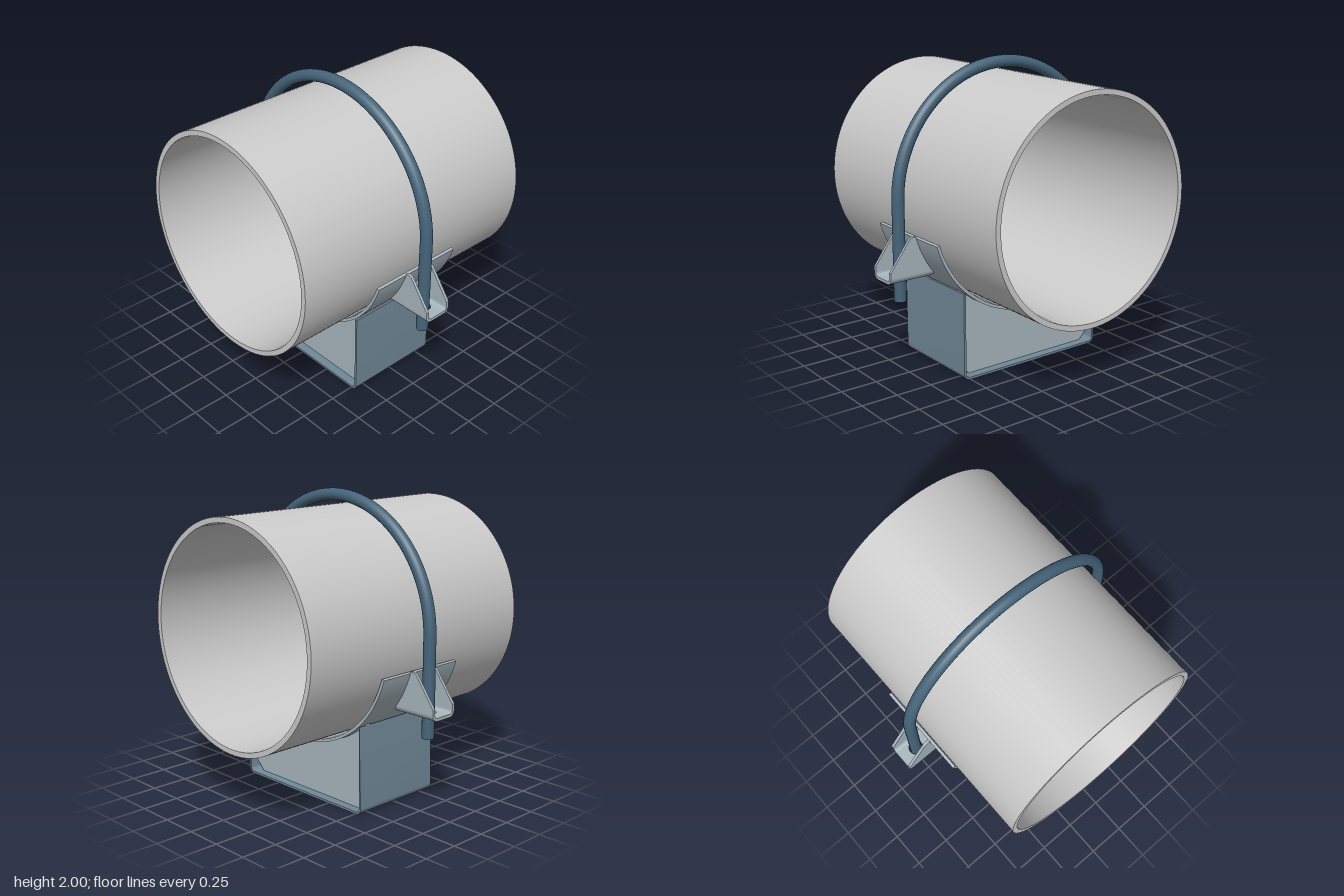
import * as THREE from 'three';
import { toCreasedNormals } from 'three/addons/utils/BufferGeometryUtils.js';

const CY = 1.155; // height of the pipe axis
const PI = Math.PI;
const paint = (color) => new THREE.MeshStandardMaterial({ color });
const grey = paint(0xcccccc);
const plateBlue = paint(0xa8b6be);
const channelBlue = paint(0x728a99);
const rodBlue = paint(0x45647a);

function add(parent, name, geometry, material) {
  const mesh = new THREE.Mesh(geometry, material);
  mesh.name = name;
  parent.add(mesh);
  return mesh;
}

// Extrude a shape by depth, centred on its own plane
function extrude(shape, depth, curveSegments = 12) {
  const g = new THREE.ExtrudeGeometry(shape, { depth, bevelEnabled: false, curveSegments });
  g.translate(0, 0, -depth / 2);
  return toCreasedNormals(g, 0.5);
}

// Extrude a side profile drawn in (z, y) along x
const extrudeX = (shape, width, segments) => extrude(shape, width, segments).rotateY(-PI / 2);

function buildPipe(parent) {
  const ring = new THREE.Shape().absarc(0, CY, 0.74, 0, PI * 2);
  ring.holes.push(new THREE.Path().absarc(0, CY, 0.705, 0, PI * 2, true));
  add(parent, 'pipe', extrudeX(ring, 1.847, 64), grey);
}

function buildSaddle(parent) {
  const half = 1.275;
  const arc = new THREE.Shape();
  arc.absarc(0, CY, 0.775, -PI / 2 - half, -PI / 2 + half, false);
  arc.absarc(0, CY, 0.755, -PI / 2 + half, -PI / 2 - half, true);
  arc.closePath();
  add(parent, 'saddle', extrudeX(arc, 0.667, 48), plateBlue);
}

function buildBase(parent) {
  // Bent channel with rounded lower corners
  const w = 0.547, t = 0.015, top = 0.585, r = 0.045;
  const u = new THREE.Shape();
  u.moveTo(-w, top);
  u.absarc(-w + r, r, r, PI, PI * 1.5, false);
  u.absarc(w - r, r, r, PI * 1.5, PI * 2, false);
  u.lineTo(w, top);
  u.lineTo(w - t, top);
  u.absarc(w - r, r, r - t, 0, -PI / 2, true);
  u.absarc(-w + r, r, r - t, PI * 1.5, PI, true);
  u.lineTo(-w + t, top);
  u.closePath();
  add(parent, 'baseChannel', extrudeX(u, 0.667), channelBlue);

  // Gusset plates: clipped lower corners, top cut to the saddle
  const g = w - t, c = 0.06, R = 0.772;
  const a = Math.asin(g / R);
  const plate = new THREE.Shape();
  plate.moveTo(-g, t + c);
  plate.lineTo(-g + c, t);
  plate.lineTo(g - c, t);
  plate.lineTo(g, t + c);
  plate.absarc(0, CY, R, -PI / 2 + a, -PI / 2 - a, true);
  plate.closePath();
  for (const side of [-1, 1]) {
    add(parent, 'gussetPlate', extrudeX(plate, 0.035, 32), plateBlue).position.x = side * 0.255;
  }
}

// U-shaped lug on the +z side: two cheeks, two bends and a drilled floor
function buildLug() {
  const lug = new THREE.Group();
  lug.name = 'lug';
  const half = 0.1, t = 0.02, r = 0.042, bottom = 0.655;
  const zIn = 0.612, zOut = 0.93, R = 0.772;
  const bendY = bottom + r;

  const cheek = new THREE.Shape();
  cheek.moveTo(zOut, bendY);
  cheek.lineTo(zOut, 0.735);
  cheek.lineTo(0.785, 0.932);
  cheek.lineTo(0.765, 0.94);
  cheek.absarc(0, CY, R, Math.asin((0.94 - CY) / R), Math.asin((bendY - CY) / R), true);
  cheek.closePath();

  const bend = new THREE.Shape();
  bend.absarc(0, 0, r, -PI / 2, 0, false);
  bend.absarc(0, 0, r - t, 0, -PI / 2, true);
  bend.closePath();

  for (const side of [-1, 1]) {
    add(lug, 'lugCheek', extrudeX(cheek, t), plateBlue).position.x = side * (half - t / 2);
    const corner = add(lug, 'lugBend', extrude(bend, zOut - zIn, 6), plateBlue);
    corner.position.set(side * (half - r), bendY, (zIn + zOut) / 2);
    if (side < 0) corner.rotation.y = PI;
  }

  const f = half - r;
  const floor = new THREE.Shape();
  floor.moveTo(-f, zIn);
  floor.lineTo(f, zIn);
  floor.lineTo(f, zOut);
  floor.lineTo(-f, zOut);
  floor.closePath();
  floor.holes.push(new THREE.Path().absarc(0, 0.805, 0.048, 0, PI * 2, true));
  const floorMesh = add(lug, 'lugFloor', extrude(floor, t, 16).rotateX(PI / 2), plateBlue);
  floorMesh.position.y = bottom + t / 2;
  return lug;
}

function buildUBolt(parent) {
  const bolt = new THREE.Group();
  bolt.name = 'uBolt';
  const reach = 0.805, r = 0.04, end = 0.505;
  const bow = new THREE.TorusGeometry(reach, r, 20, 72, PI).rotateY(-PI / 2);
  add(bolt, 'boltBow', bow, rodBlue).position.y = CY;
  for (const side of [-1, 1]) {
    const leg = add(bolt, 'boltLeg', new THREE.CylinderGeometry(r, r, CY - end, 20), rodBlue);
    leg.position.set(0, (CY + end) / 2, side * reach);
  }
  parent.add(bolt);
}

export function createModel() {
  const model = new THREE.Group();
  model.name = 'pipeSupport';
  buildPipe(model);
  buildSaddle(model);
  buildBase(model);
  for (const turn of [0, PI]) {
    const lug = buildLug();
    lug.rotation.y = turn;
    model.add(lug);
  }
  buildUBolt(model);
  return model;
}
